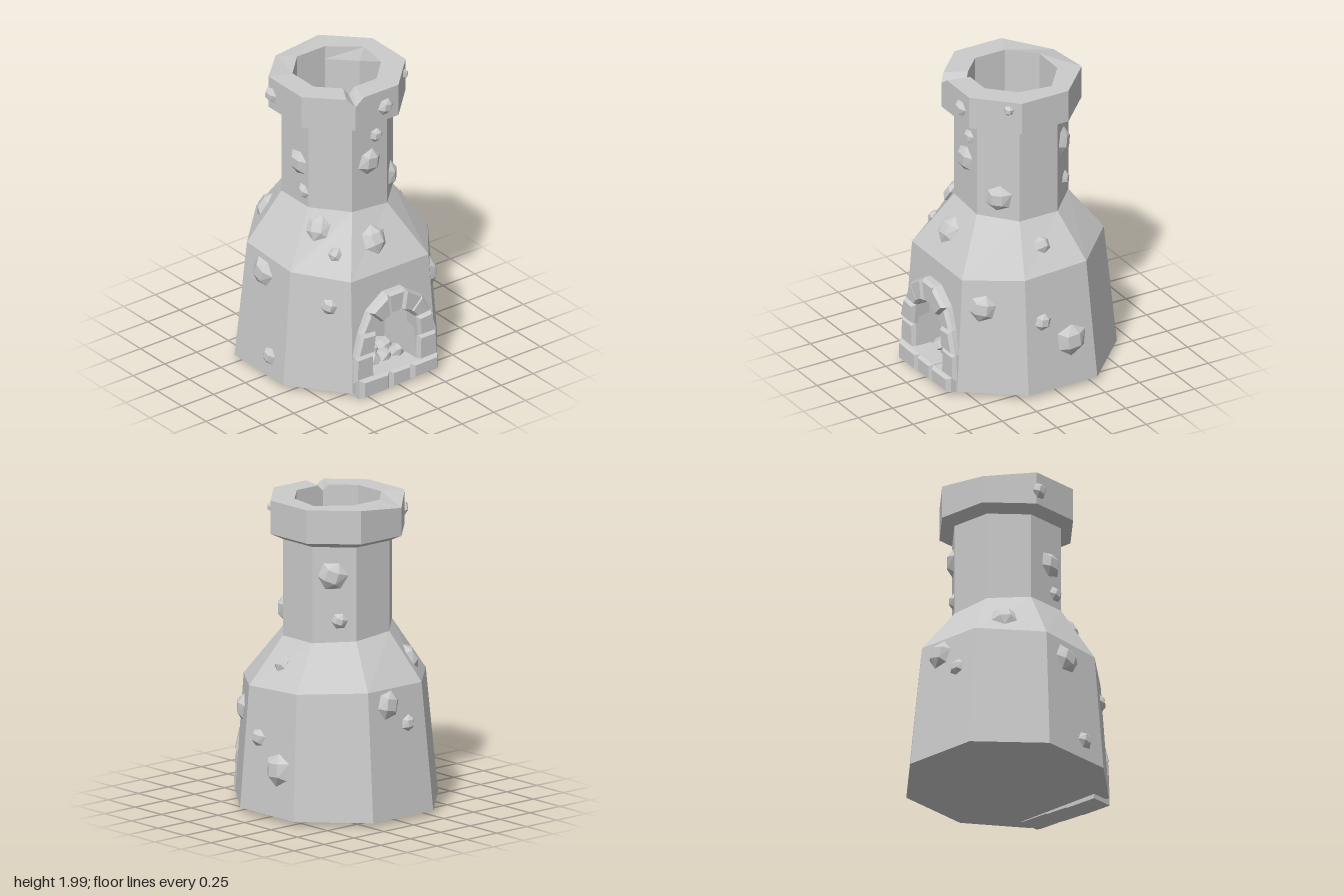
import * as THREE from 'three';
import { ConvexGeometry } from 'three/addons/geometries/ConvexGeometry.js';

const material = new THREE.MeshStandardMaterial({ color: 0xcccccc, flatShading: true, side: THREE.DoubleSide });

let seed = 7;
const rand = () => ((seed = (seed * 16807) % 2147483647) / 2147483647);

function addMesh(parent, name, geometry) {
  const mesh = new THREE.Mesh(geometry, material);
  mesh.name = name;
  parent.add(mesh);
  return mesh;
}

function fromTriangles(vertices) {
  const g = new THREE.BufferGeometry().setFromPoints(vertices);
  g.computeVertexNormals();
  return g;
}

// Regular octagon, starting at the front left corner and passing the model's left side
function octagon(y, apothem, cz) {
  const radius = apothem / Math.cos(Math.PI / 8);
  return Array.from({ length: 8 }, (_, i) => {
    const a = Math.PI / 8 + i * Math.PI / 4;
    return new THREE.Vector3(radius * Math.sin(a) - 0.01, y, radius * Math.cos(a) + cz);
  });
}

// Octagon whose front edge is wider than the others
function wideFront(y, apothem, cz, halfWidth) {
  const pts = octagon(y, apothem, cz);
  pts[0].x = halfWidth - 0.01;
  pts[7].x = -halfWidth - 0.01;
  return pts;
}

// Quads between successive rings; skip(band, side) leaves a face open
function loft(rings, skip = () => false) {
  const out = [];
  for (let r = 0; r + 1 < rings.length; r++) {
    const n = rings[r].length;
    for (let i = 0; i < n; i++) {
      if (skip(r, i)) continue;
      const j = (i + 1) % n;
      const [a, b, c, d] = [rings[r][i], rings[r][j], rings[r + 1][j], rings[r + 1][i]];
      out.push(a, b, c, a, c, d);
    }
  }
  return out;
}

function cap(pts, flip) {
  const out = [];
  for (let i = 1; i + 1 < pts.length; i++) {
    out.push(pts[0], pts[flip ? i + 1 : i], pts[flip ? i : i + 1]);
  }
  return out;
}

// Splits the front right corner into three points and lowers the middle one: a worn notch
function notched(pts, dip) {
  const p = pts[7];
  const before = p.clone().lerp(pts[6], 0.16);
  const after = p.clone().lerp(pts[0], 0.2);
  return [...pts.slice(0, 7), before, p.clone().setY(p.y - dip), after];
}

// Completes a left-hand outline with its mirror image
const mirrored = half => [...half, ...half.map(([x, y]) => [-0.02 - x, y]).reverse()];
const vec2 = ([x, y]) => new THREE.Vector2(x, y);

// Bevelled masonry block from a four-cornered face
function block(parent, name, quad, z0, z1) {
  const cx = quad.reduce((s, p) => s + p[0], 0) / 4;
  const cy = quad.reduce((s, p) => s + p[1], 0) / 4;
  const pts = [];
  for (const [x, y] of quad) {
    pts.push(new THREE.Vector3(x, y, z0), new THREE.Vector3(x, y, z1 - 0.025));
    pts.push(new THREE.Vector3(cx + (x - cx) * 0.78, cy + (y - cy) * 0.78, z1));
  }
  addMesh(parent, name, new ConvexGeometry(pts));
}

// Faceted stone: a six-sided girdle with a smaller four-sided crown on both sides
function stone(parent, name, position, normal, size, depth) {
  const pts = [];
  const turn = rand() * 0.6;
  for (let i = 0; i < 6; i++) {
    const a = turn + i * Math.PI / 3;
    const r = size * (0.46 + rand() * 0.08);
    pts.push(new THREE.Vector3(Math.cos(a) * r, Math.sin(a) * r, 0));
  }
  for (let i = 0; i < 8; i++) {
    const a = turn + 0.4 + i * Math.PI / 2;
    pts.push(new THREE.Vector3(Math.cos(a) * 0.27 * size, Math.sin(a) * 0.27 * size, i < 4 ? depth : -depth));
  }
  const mesh = addMesh(parent, name, new ConvexGeometry(pts));
  mesh.position.copy(position);
  mesh.lookAt(position.clone().add(normal));
}

// Point and outward normal on one side of a stack of rings, u running along the side
function onWall(rings, side, u, y) {
  let r = 0;
  while (r + 2 < rings.length && y > rings[r + 1][side].y) r++;
  const [low, high] = [rings[r], rings[r + 1]];
  const next = (side + 1) % 8;
  const bottom = low[side].clone().lerp(low[next], u);
  const top = high[side].clone().lerp(high[next], u);
  const up = top.clone().sub(bottom);
  const normal = low[next].clone().sub(low[side]).cross(up).normalize();
  return [bottom.addScaledVector(up, (y - bottom.y) / up.y), normal];
}

export function createModel() {
  seed = 7;
  const model = new THREE.Group();
  model.name = 'stoneChimney';

  // Eight-sided body, shoulder and neck, with a slanting neck joint
  const base = wideFront(0.03, 0.605, -0.035, 0.33);
  const shoulder = wideFront(0.82, 0.54, -0.02, 0.305);
  shoulder.forEach(p => { p.y -= p.z * 0.05; });
  const neck = octagon(1.14, 0.333, -0.02);
  neck.forEach(p => { p.y -= p.x * 0.08; });
  const neckTop = octagon(1.76, 0.333, -0.02);
  const body = [base, shoulder, neck, neckTop];
  const frontOpen = (band, side) => band === 0 && side === 7;
  addMesh(model, 'body', fromTriangles([...loft(body, frontOpen), ...cap(base, true)]));

  // Front wall with an arched opening, leaning back with the body
  const opening = mirrored([[-0.18, 0.1], [-0.18, 0.42], [-0.115, 0.48], [-0.06, 0.5]]);
  const slope = (shoulder[0].z - base[0].z) / (shoulder[0].y - base[0].y);
  const lean = y => base[0].z + (y - base[0].y) * slope;
  const wall = new THREE.Shape([base[7], base[0], shoulder[0], shoulder[7]].map(p => new THREE.Vector2(p.x, p.y)));
  wall.holes.push(new THREE.Path(opening.map(vec2)));
  const wallGeometry = new THREE.ShapeGeometry(wall);
  const wp = wallGeometry.attributes.position;
  for (let i = 0; i < wp.count; i++) wp.setZ(i, lean(wp.getY(i)));
  wallGeometry.computeVertexNormals();
  addMesh(model, 'frontWall', wallGeometry);

  // Firebox recess
  const backLoop = opening.map(([x, y]) => new THREE.Vector3(x * 0.97, y, 0.25));
  const frontLoop = opening.map(([x, y]) => new THREE.Vector3(x, y, lean(y)));
  addMesh(model, 'firebox', fromTriangles([...loft([backLoop, frontLoop]), ...cap(backLoop, true)]));

  // Collar with worn rim and the flue inside it
  const flue = y => octagon(y, 0.265, -0.025);
  const collarSide = [octagon(1.775, 0.41, -0.022), octagon(1.99, 0.41, -0.022)];
  const rim = collarSide[1].map(p => p.clone());
  rim[4].y -= 0.035;
  const rimInner = flue(1.99);
  rimInner[2].x += 0.035;
  const collar = [
    notched(octagon(1.735, 0.333, -0.02), 0), notched(collarSide[0], 0), notched(rim, 0.05),
    notched(rimInner, 0.04), notched(flue(1.9), 0), notched(flue(1.4), 0)];
  addMesh(model, 'collar', fromTriangles([...loft(collar), ...cap(collar[5], false)]));

  // Arch stones around the opening
  const arch = new THREE.Group();
  arch.name = 'arch';
  model.add(arch);
  const archInner = mirrored([[-0.18, 0.1], [-0.185, 0.285], [-0.17, 0.425], [-0.125, 0.48], [-0.055, 0.51]]);
  const archOuter = mirrored([[-0.335, 0.1], [-0.33, 0.285], [-0.285, 0.435], [-0.215, 0.57], [-0.08, 0.66]]);
  for (let i = 0; i < 9; i++) {
    block(arch, 'archStone', [archInner[i], archOuter[i], archOuter[i + 1], archInner[i + 1]], 0.48, 0.595 + (i % 2) * 0.01);
  }

  // Hearth step
  const cuts = [-0.315, -0.08, 0.085, 0.3];
  for (let i = 0; i < 3; i++) {
    const [l, r, low] = [cuts[i], cuts[i + 1], i * 0.01];
    block(model, 'hearthStone', [[l, low], [r, low + 0.005], [r, 0.125], [l, 0.13 - low / 2]], 0.46, 0.63);
  }

  // Rubble in the firebox
  for (let i = 0; i < 5; i++) {
    const position = new THREE.Vector3(-0.1 + i * 0.05, 0.14 + (i % 2) * 0.03, 0.44 - (i % 2) * 0.07);
    const normal = new THREE.Vector3(rand() - 0.5, 1, 0.6);
    stone(model, 'rubble', position, normal, 0.09 + rand() * 0.05, 0.04);
  }

  // Stones set in each side of the walls, from front left round to front: along, height, size
  const wallStones = [
    [[0.75, 1.93, 0.07], [0.5, 1.26, 0.18], [0.33, 0.61, 0.18]],
    [[0.4, 0.97, 0.11], [0.26, 0.5, 0.12], [0.67, 0.33, 0.22]],
    [[0.45, 1.55, 0.19], [0.62, 1.26, 0.1]],
    [[0.36, 0.75, 0.19], [0.7, 0.61, 0.11]],
    [[0.4, 0.97, 0.18]],
    [[0.4, 0.7, 0.19], [0.68, 0.17, 0.12], [0.65, 1.45, 0.17], [0.82, 1.26, 0.1], [0.07, 1.87, 0.11]],
    [[0.3, 1.06, 0.17], [0.7, 0.93, 0.09], [0.64, 0.61, 0.11]],
    [[0.5, 1.47, 0.18], [0.68, 1.64, 0.1], [0.7, 1.87, 0.12], [0.41, 0.97, 0.18]]];
  wallStones.forEach((stones, side) => {
    for (const [u, y, size] of stones) {
      const [position, normal] = onWall(y > 1.8 ? collarSide : body, side, u, y);
      stone(model, 'wallStone', position, normal, size, 0.015 + size * 0.12);
    }
  });

  return model;
}
